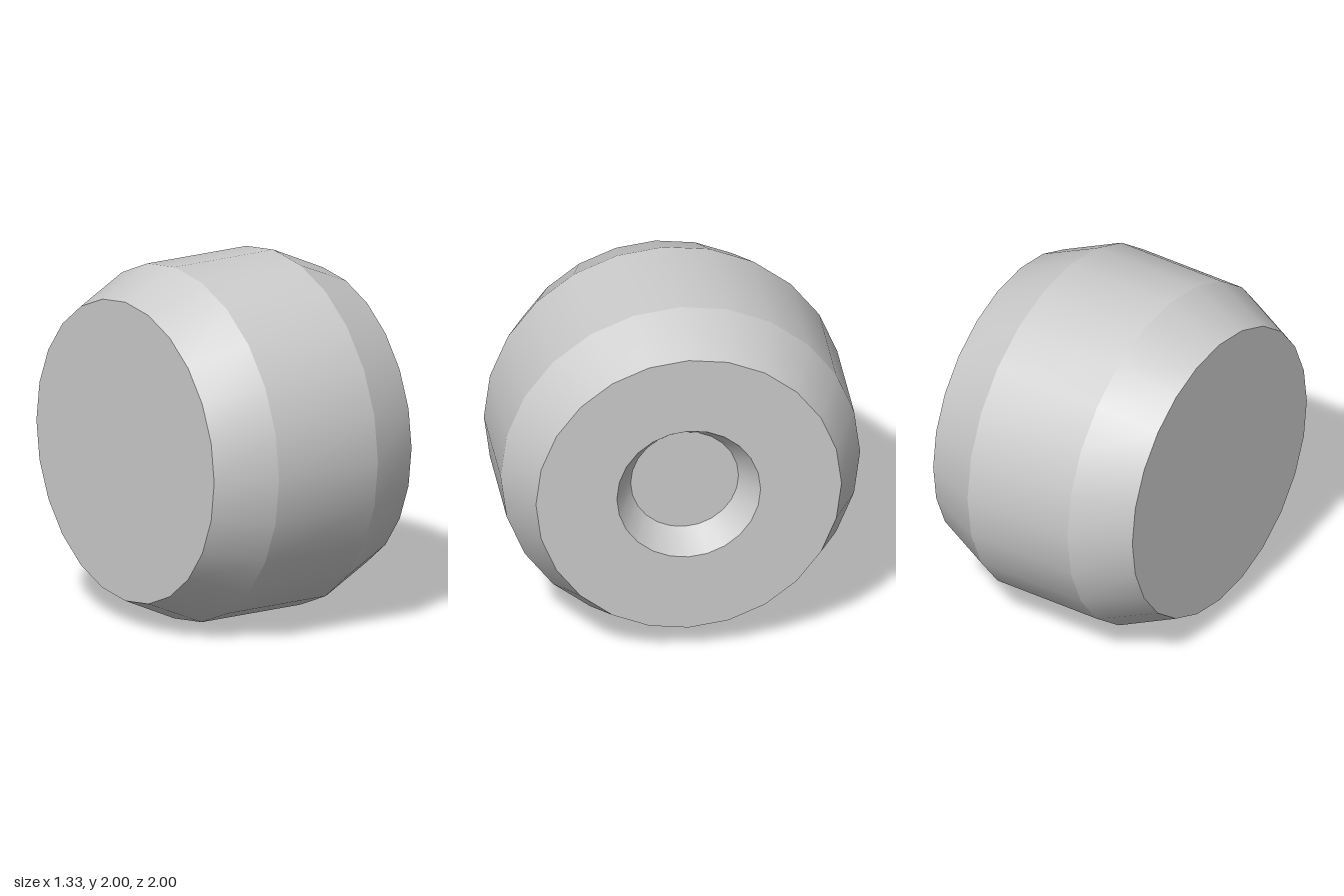
import * as THREE from 'three';
import { toCreasedNormals } from 'three/addons/utils/BufferGeometryUtils.js';

const SIDES = 24;

export function createModel() {
  const group = new THREE.Group();
  group.name = 'roller';
  const material = new THREE.MeshStandardMaterial({ color: 0xcccccc });

  // Half profile as [radius, position along the axle]
  const profile = [
    [0, -0.665], [0.85, -0.665],              // plain inner face
    [1, -0.333], [1, 0.333], [0.85, 0.665],   // bevel, tread, bevel
    [0.4, 0.665], [0.3, 0.5], [0, 0.5],       // outer face with tapered hub recess
  ].map(([r, y]) => new THREE.Vector2(r, y));

  // Smooth around the axle, sharp between the bands
  const geometry = toCreasedNormals(
    new THREE.LatheGeometry(profile, SIDES),
    THREE.MathUtils.degToRad(20)
  );
  geometry.rotateZ(-Math.PI / 2); // axle along x, recess on +x

  const wheel = new THREE.Mesh(geometry, material);
  wheel.name = 'wheel';
  wheel.position.y = 1;
  group.add(wheel);
  return group;
}
